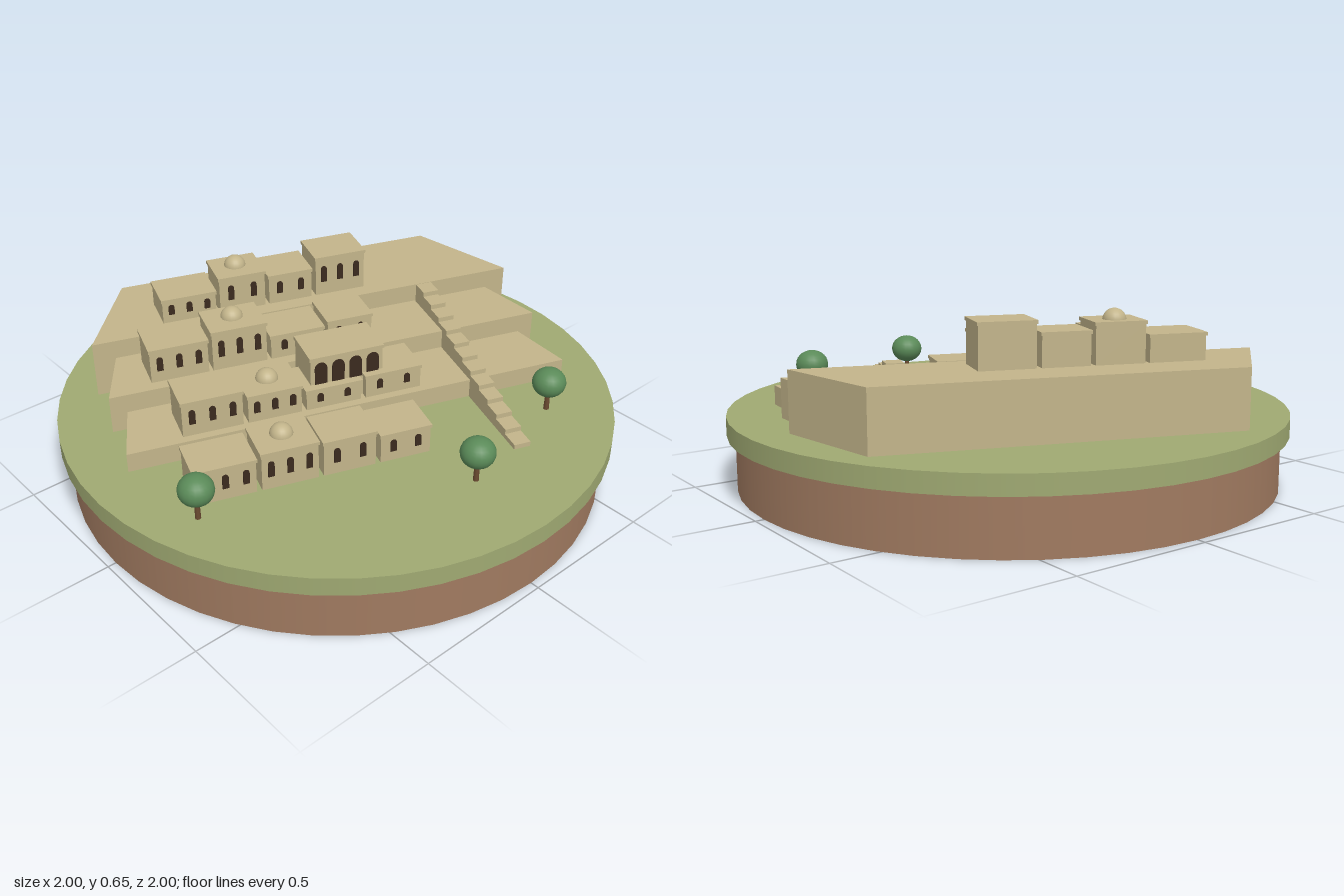
import * as THREE from 'three';

const mat = (name, color, opts = {}) => {
  const m = new THREE.MeshStandardMaterial({ color, ...opts });
  m.name = name;
  return m;
};

export function createModel() {
  const sand = mat('sandstone', 0xc2b48a);
  const grass = mat('grass', 0x9fa972);
  const earth = mat('earth', 0xa07a60);
  const dark = mat('window dark', 0x3a2a1e);
  const leaf = mat('foliage', 0x5a8a58);
  const bark = mat('bark', 0x6b4a30);

  const model = new THREE.Group();
  model.name = 'terracedVillage';
  const add = (parent, name, geo, material, x = 0, y = 0, z = 0) => {
    const m = new THREE.Mesh(geo, material);
    m.name = name;
    m.position.set(x, y, z);
    parent.add(m);
    return m;
  };
  const box = (parent, name, material, x0, x1, y0, y1, z0, z1) =>
    add(parent, name, new THREE.BoxGeometry(x1 - x0, y1 - y0, z1 - z0), material,
      (x0 + x1) / 2, (y0 + y1) / 2, (z0 + z1) / 2);

  // Round base: earth drum with an overhanging grass disc
  const GROUND = 0.265, STEP = 0.07;
  add(model, 'earthBase', new THREE.CylinderGeometry(0.97, 0.97, 0.2, 48), earth, 0, 0.1, 0);
  add(model, 'grassDisc', new THREE.CylinderGeometry(1, 1, GROUND - 0.197, 48), grass, 0, (GROUND + 0.197) / 2, 0);

  // The village is turned 20 degrees on the base
  const village = new THREE.Group();
  village.name = 'village';
  village.rotation.y = -Math.PI / 9;
  model.add(village);

  // Terraces: trapezoids [front z, front half width, back z, back half width]
  [[0.208, 0.816, -0.28, 0.7], [-0.033, 0.816, -0.45, 0.685], [-0.281, 0.817, -0.658, 0.627]]
    .forEach(([zf, wf, zb, wb], i) => {
      const s = new THREE.Shape([[-wf, -zf], [wf, -zf], [wb, -zb], [-wb, -zb]]
        .map(([x, y]) => new THREE.Vector2(x, y)));
      const g = new THREE.ExtrudeGeometry(s, { depth: STEP * (i + 1), bevelEnabled: false });
      g.rotateX(-Math.PI / 2);
      add(village, 'terrace' + (i + 1), g, sand, 0, GROUND, 0);
    });

  // Arched opening as a thin plate
  const arch = (w, h) => {
    const s = new THREE.Shape();
    s.moveTo(-w / 2, 0);
    s.lineTo(w / 2, 0);
    s.lineTo(w / 2, h - w / 2);
    s.absarc(0, h - w / 2, w / 2, 0, Math.PI, false);
    s.closePath();
    return new THREE.ExtrudeGeometry(s, { depth: 0.005, bevelEnabled: false, curveSegments: 6 });
  };

  // One flat-roofed house with arched windows on the front
  const house = (name, x0, x1, z0, z1, y0, y1, windows, w, sill, head, domed) => {
    const g = new THREE.Group();
    g.name = name;
    village.add(g);
    const o = 0.004;
    box(g, 'walls', sand, x0 + o, x1 - o, y0, y1 - 0.012, z0 + o, z1 - o);
    box(g, 'roofSlab', sand, x0, x1, y1 - 0.012, y1, z0, z1);
    const pitch = (x1 - x0) / (windows + (windows > 3 ? 0.3 : 0.1));
    for (let i = 0; i < windows; i++) {
      add(g, 'window', arch(w, head - sill), dark,
        (x0 + x1) / 2 + (i - (windows - 1) / 2) * pitch, sill, z1 - o - 0.001);
    }
    if (domed) {
      add(g, 'dome', new THREE.SphereGeometry(0.04, 20, 8, 0, Math.PI * 2, 0, Math.PI / 2), sand,
        (x0 + x1) / 2, y1 - 0.003, (z0 + z1) / 2 - 0.012);
    }
  };

  // Rows of houses: front z, then [left, right, roof height, windows] for each
  const rows = [
    [0.463, [[-0.66, -0.445, 0.395, 3], [-0.435, -0.232, 0.41, 3], [-0.222, -0.03, 0.4, 2], [-0.02, 0.168, 0.376, 2]]],
    [0.182, [[-0.62, -0.4, 0.47, 3], [-0.39, -0.19, 0.442, 3], [-0.18, 0.03, 0.415, 2], [0.04, 0.256, 0.425, 2]]],
    [-0.072, [[-0.66, -0.445, 0.535, 3], [-0.437, -0.23, 0.56, 3], [-0.222, -0.015, 0.5, 2], [-0.006, 0.171, 0.515, 2]]],
    [-0.336, [[-0.546, -0.338, 0.57, 3], [-0.33, -0.148, 0.617, 2], [-0.14, 0.035, 0.592, 2], [0.045, 0.247, 0.632, 3]]],
  ];
  rows.forEach(([front, list], r) => {
    const y0 = GROUND + STEP * r;
    list.forEach(([x0, x1, y1, n], i) => {
      const h = y1 - y0;
      house(`house${r + 1}_${i + 1}`, x0, x1, front - 0.16, front, y0, y1, n, 0.022,
        y0 + h * 0.34, y0 + h * 0.75, i === 1);
    });
  });

  // Tall hall with an arcade, rising above the second row
  house('arcadeHall', -0.155, 0.12, -0.011, 0.155, GROUND + STEP, 0.523, 4, 0.045, 0.416, 0.5, false);

  // Long straight stair up to the top terrace
  const N = 12, z0 = 0.555, run = (z0 + 0.275) / N;
  for (let i = 0; i < N; i++) {
    box(village, 'stairStep', sand, 0.436, 0.497, GROUND - 0.005, GROUND + (3 * STEP + 0.002) * (i + 1) / N,
      z0 - run * (i + 1), z0 - run * i);
  }

  // Round trees
  [[-0.8, 0.26], [0, 0.7], [0.49, 0.58]].forEach(([x, z]) => {
    const t = new THREE.Group();
    t.name = 'tree';
    t.position.set(x, GROUND, z);
    model.add(t);
    add(t, 'trunk', new THREE.CylinderGeometry(0.008, 0.01, 0.08, 8), bark, 0, 0.04, 0);
    add(t, 'crown', new THREE.SphereGeometry(0.06, 20, 14), leaf, 0, 0.113, 0).scale.y = 0.88;
  });

  return model;
}
